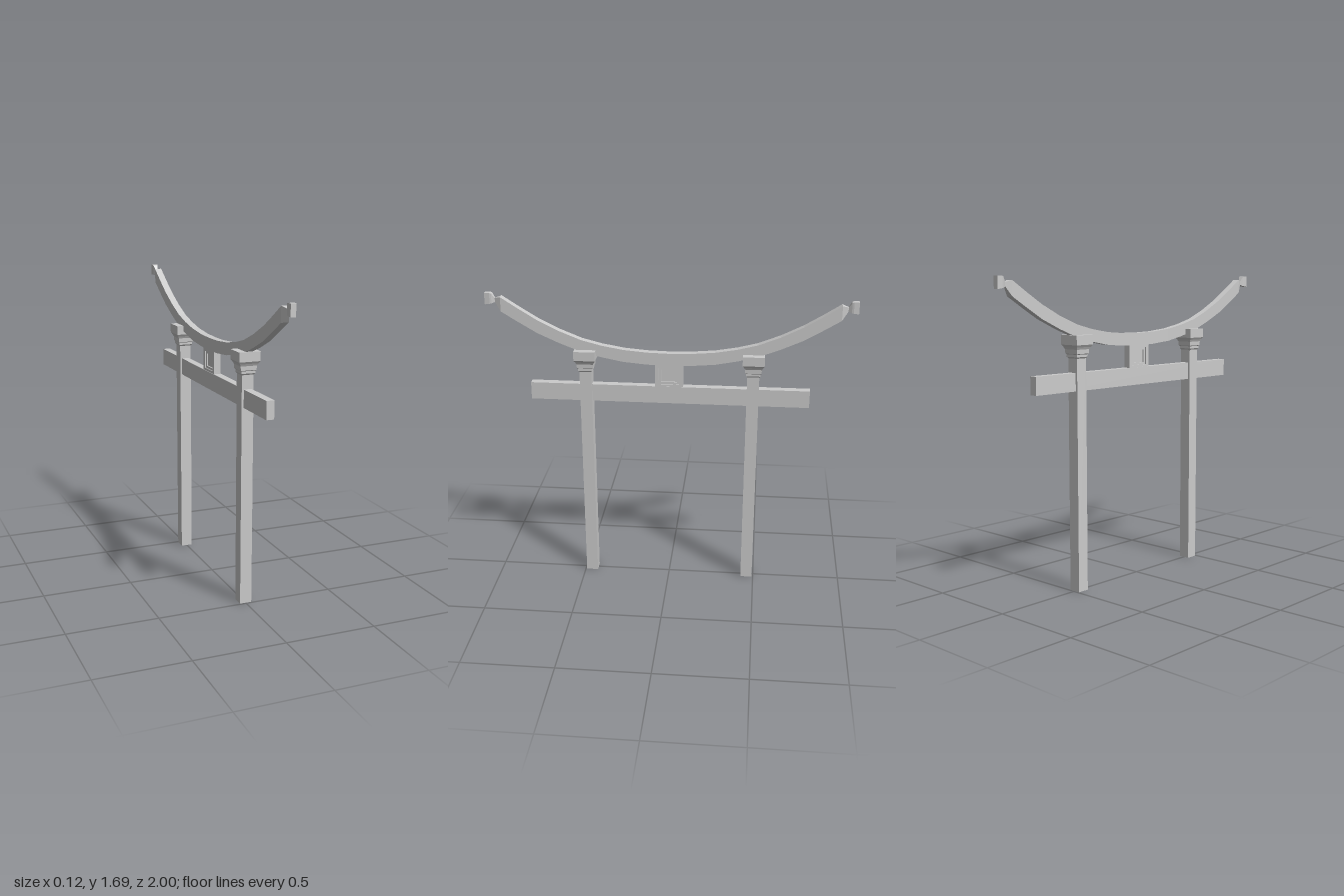
import * as THREE from 'three';

const material = new THREE.MeshStandardMaterial({ color: 0xcccccc, flatShading: true });

function addMesh(parent, name, geometry, x = 0, y = 0, z = 0) {
  const mesh = new THREE.Mesh(geometry, material);
  mesh.name = name;
  mesh.position.set(x, y, z);
  parent.add(mesh);
  return mesh;
}

// Box given by its bottom height
function addBox(parent, name, w, h, d, bottom, z = 0) {
  return addMesh(parent, name, new THREE.BoxGeometry(w, h, d), 0, bottom + h / 2, z);
}

// Joins rectangular sections [z, bottom, top, halfWidth], listed by rising z
function loftSections(sections) {
  const pos = [];
  const rings = sections.map(([z, b, t, w]) => [[-w, b, z], [w, b, z], [w, t, z], [-w, t, z]]);
  const quad = (a, b, c, d) => [a, b, c, a, c, d].forEach((p) => pos.push(...p));
  for (let i = 0; i < rings.length - 1; i++) {
    const r = rings[i], s = rings[i + 1];
    for (let k = 0; k < 4; k++) {
      const n = (k + 1) % 4;
      quad(r[k], r[n], s[n], s[k]);
    }
  }
  const first = rings[0], last = rings[rings.length - 1];
  quad(first[3], first[2], first[1], first[0]);
  quad(last[0], last[1], last[2], last[3]);
  const geometry = new THREE.BufferGeometry();
  geometry.setAttribute('position', new THREE.Float32BufferAttribute(pos, 3));
  geometry.computeVertexNormals();
  return geometry;
}

// Square turned profile of [halfWidth, y] points
function squareLathe(profile) {
  const points = profile.map(([w, y]) => new THREE.Vector2(w * Math.SQRT2, y));
  const geometry = new THREE.LatheGeometry(points, 4);
  geometry.rotateY(Math.PI / 4);
  const flat = geometry.toNonIndexed();
  flat.computeVertexNormals();
  return flat;
}

// Rectangular frame facing +x and -x
function frameGeometry(outerZ, outerY, innerZ, innerY, depth) {
  const rect = (Type, a, b) => new Type([[-a, -b], [a, -b], [a, b], [-a, b]]
    .map(([x, y]) => new THREE.Vector2(x, y)));
  const shape = rect(THREE.Shape, outerZ, outerY);
  shape.holes.push(rect(THREE.Path, innerZ, innerY));
  const geometry = new THREE.ExtrudeGeometry(shape, { depth, bevelEnabled: false });
  geometry.translate(0, 0, -depth / 2);
  geometry.rotateY(Math.PI / 2);
  return geometry;
}

export function createModel() {
  const gate = new THREE.Group();
  gate.name = 'gate';

  // Posts with stepped square capitals
  const capital = [
    [0, 1.262], [0.033, 1.262], [0.039, 1.27], [0.039, 1.283], [0.044, 1.287],
    [0.045, 1.31], [0.051, 1.322], [0.059, 1.334], [0.059, 1.385], [0, 1.385],
  ];
  for (const side of [-1, 1]) {
    const name = side > 0 ? 'front' : 'back';
    addBox(gate, name + 'Post', 0.066, 1.3, 0.066, 0, side * 0.46);
    addMesh(gate, name + 'Capital', squareLathe(capital), 0, 0, side * 0.46);
  }

  // Straight tie beam through both posts
  addBox(gate, 'tieBeam', 0.043, 0.097, 1.54, 1.09);

  // Curved top beam, pinched near each end into a flared finial
  const half = [
    [0.12, 1.312, 1.381, 0.02], [0.25, 1.323, 1.392, 0.02],
    [0.37, 1.346, 1.413, 0.02], [0.48, 1.374, 1.441, 0.02],
    [0.6, 1.42, 1.489, 0.02], [0.72, 1.474, 1.549, 0.02],
    [0.82, 1.533, 1.61, 0.02], [0.913, 1.59, 1.67, 0.02],
    [0.945, 1.638, 1.66, 0.006], [0.962, 1.632, 1.687, 0.014],
    [0.972, 1.63, 1.69, 0.016], [1.0, 1.626, 1.69, 0.014],
  ];
  const mirrored = half.map(([z, ...rest]) => [-z, ...rest]).reverse();
  addMesh(gate, 'topBeam', loftSections([...mirrored, [0, 1.308, 1.378, 0.02], ...half]));

  // Central strut: outer frame, inner moulding and recessed panel
  const strut = new THREE.Group();
  strut.name = 'centralStrut';
  strut.position.y = 1.248;
  gate.add(strut);
  addMesh(strut, 'outerFrame', frameGeometry(0.077, 0.064, 0.056, 0.048, 0.04));
  addMesh(strut, 'innerFrame', frameGeometry(0.056, 0.048, 0.043, 0.036, 0.028));
  addMesh(strut, 'panel', new THREE.BoxGeometry(0.012, 0.074, 0.088));

  return gate;
}
